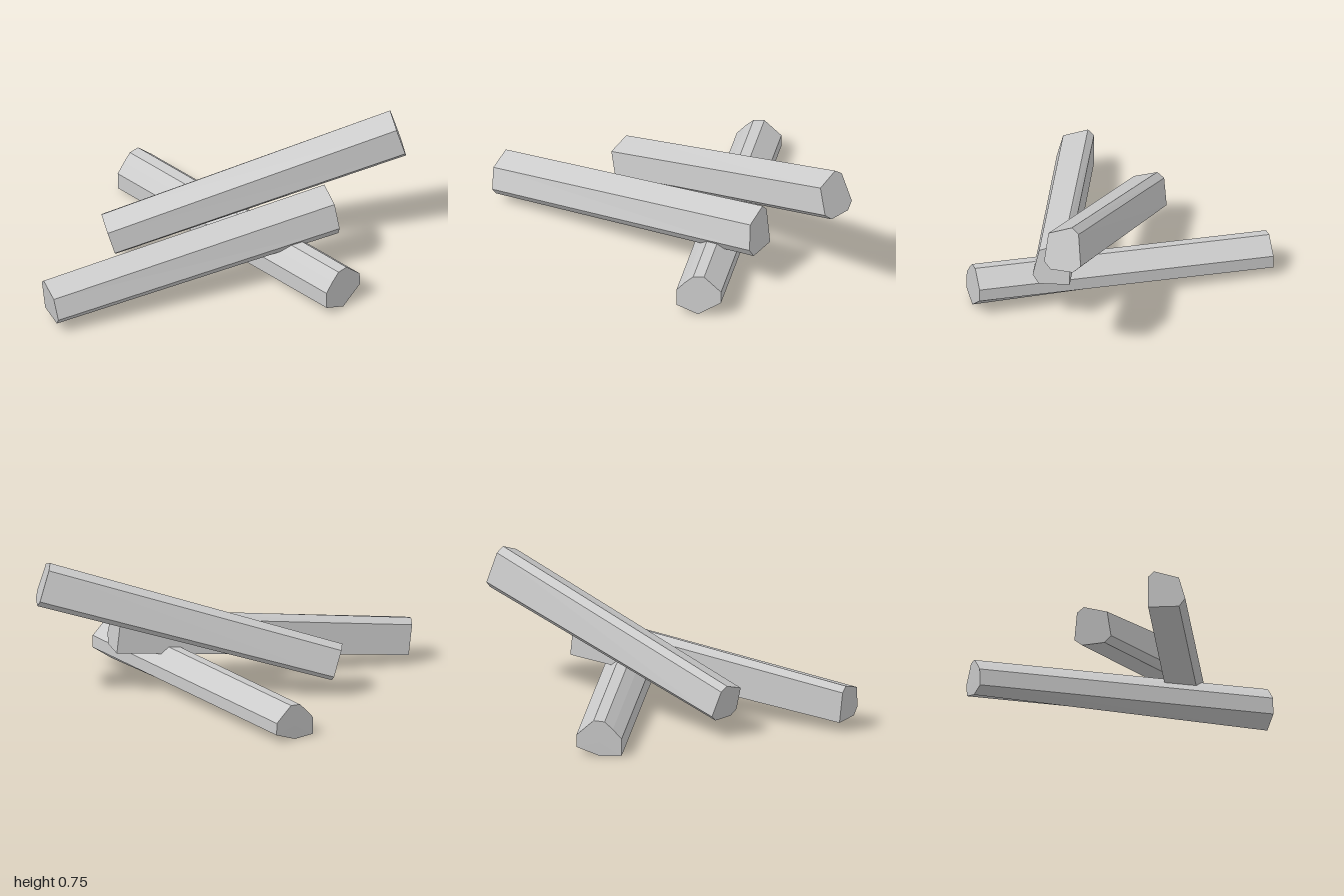
import * as THREE from 'three';

// Faceted log lofted from its thin end to its thick end.
// section: [sideways, up] corners, anticlockwise as seen from the thick end.
function makeLog(name, thin, thick, section, thinHeight) {
  const a = new THREE.Vector3(...thin);
  const b = new THREE.Vector3(...thick);
  const axis = b.clone().sub(a).normalize();
  const side = new THREE.Vector3(0, 1, 0).cross(axis).normalize();
  const up = axis.clone().cross(side);

  const ring = (centre, k) => section.map(([s, h]) => {
    const p = centre.clone().addScaledVector(side, s).addScaledVector(up, h * k);
    p.y = Math.max(p.y, 0); // rests flat on the floor
    return p;
  });
  const back = ring(a, thinHeight);
  const front = ring(b, 1);

  const points = [];
  const n = section.length;
  for (let i = 0; i < n; i++) {
    const j = (i + 1) % n;
    points.push(back[i], back[j], front[j], back[i], front[j], front[i]); // bark facet
    points.push(b, front[i], front[j], a, back[j], back[i]); // cut ends
  }
  const geometry = new THREE.BufferGeometry().setFromPoints(points);
  geometry.computeVertexNormals();
  const mesh = new THREE.Mesh(
    geometry,
    new THREE.MeshStandardMaterial({ color: 0xcccccc, flatShading: true })
  );
  mesh.name = name;
  return mesh;
}

export function createModel() {
  const group = new THREE.Group();
  group.name = 'logPile';

  // Log lying on the floor
  group.add(makeLog('bottomLog', [0.265, 0.075, -0.79], [0.265, 0.12, 0.79], [
    [0, -0.113], [0.12, -0.03], [0.12, 0.035], [0.03, 0.115],
    [-0.027, 0.11], [-0.07, 0.07], [-0.115, 0.02], [-0.115, -0.07],
  ], 1));

  // Log leaning across it
  group.add(makeLog('middleLog', [-0.955, 0.148, -0.115], [0.51, 0.325, 0.44], [
    [-0.096, -0.065], [-0.064, -0.115], [0.096, -0.115],
    [0.096, 0.08], [0.064, 0.115], [-0.064, 0.07],
  ], 0.84));

  // Steepest log on top
  group.add(makeLog('topLog', [-0.35, 0.185, -0.325], [0.92, 0.642, 0.505], [
    [-0.086, -0.08], [-0.049, -0.117], [0.072, -0.117], [0.111, -0.08],
    [0.085, 0.087], [0.046, 0.117], [-0.076, 0.071],
  ], 0.84));

  return group;
}
